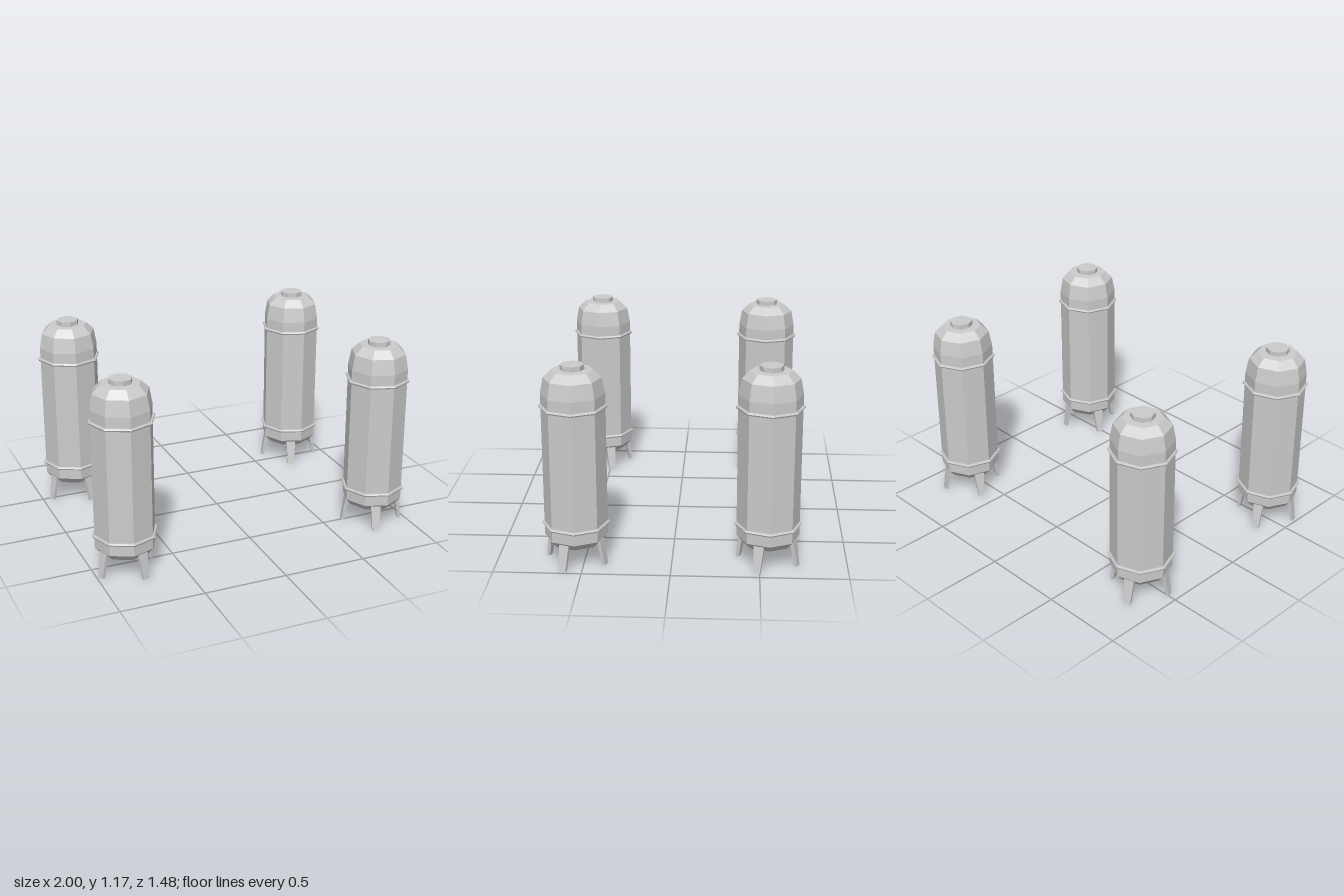
import * as THREE from 'three';

const SIDES = 8;
const material = new THREE.MeshStandardMaterial({ color: 0xcccccc, flatShading: true });

function addMesh(parent, geometry, name) {
  const mesh = new THREE.Mesh(geometry, material);
  mesh.name = name;
  parent.add(mesh);
  return mesh;
}

// Splayed leg: a box tapered towards the foot and leaning outwards
function legGeometry() {
  const geo = new THREE.BoxGeometry(1, 1, 1);
  const p = geo.attributes.position;
  for (let i = 0; i < p.count; i++) {
    const t = p.getY(i) + 0.5; // 0 at the foot, 1 at the top
    const width = THREE.MathUtils.lerp(0.038, 0.06, t);
    const radius = THREE.MathUtils.lerp(0.177, 0.152, t);
    p.setXYZ(i, p.getX(i) * width, t * 0.15, radius + p.getZ(i) * 0.02);
  }
  geo.computeVertexNormals();
  return geo;
}

function createTank() {
  const tank = new THREE.Group();

  // Octagonal vessel with chamfered base and domed shoulder
  const profile = [
    [0, 0.12], [0.145, 0.12], [0.18, 0.16], [0.18, 1.0],
    [0.163, 1.092], [0.117, 1.137], [0, 1.142],
  ].map(([r, y]) => new THREE.Vector2(r, y));
  addMesh(tank, new THREE.LatheGeometry(profile, SIDES), 'vessel');

  // Hatch on top
  const hatch = addMesh(tank, new THREE.CylinderGeometry(0.068, 0.068, 0.04, SIDES), 'hatch');
  hatch.position.y = 1.147;

  // Two bands round the wall, corners in line with the vessel's
  for (const [y, name] of [[0.233, 'lowerBand'], [0.928, 'upperBand']]) {
    const band = addMesh(tank, new THREE.TorusGeometry(0.184, 0.01, 6, SIDES), name);
    band.rotation.x = Math.PI / 2;
    band.position.y = y;
  }

  // Four legs, each in the middle of a face
  const leg = legGeometry();
  for (let i = 0; i < 4; i++) {
    addMesh(tank, leg, 'leg').rotation.y = Math.PI / 8 + (i * Math.PI) / 2;
  }
  return tank;
}

export function createModel() {
  const model = new THREE.Group();
  model.name = 'tankCluster';

  // One tank per corner, turned slightly and mirrored left to right
  const places = [
    ['frontLeftTank', 0.805, 0.546, -42],
    ['frontRightTank', -0.805, 0.546, -3],
    ['backLeftTank', 0.77, -0.546, -42],
    ['backRightTank', -0.77, -0.546, -3],
  ];
  for (const [name, x, z, turn] of places) {
    const tank = createTank();
    tank.name = name;
    tank.position.set(x, 0, z);
    tank.rotation.y = THREE.MathUtils.degToRad(turn);
    model.add(tank);
  }
  return model;
}
